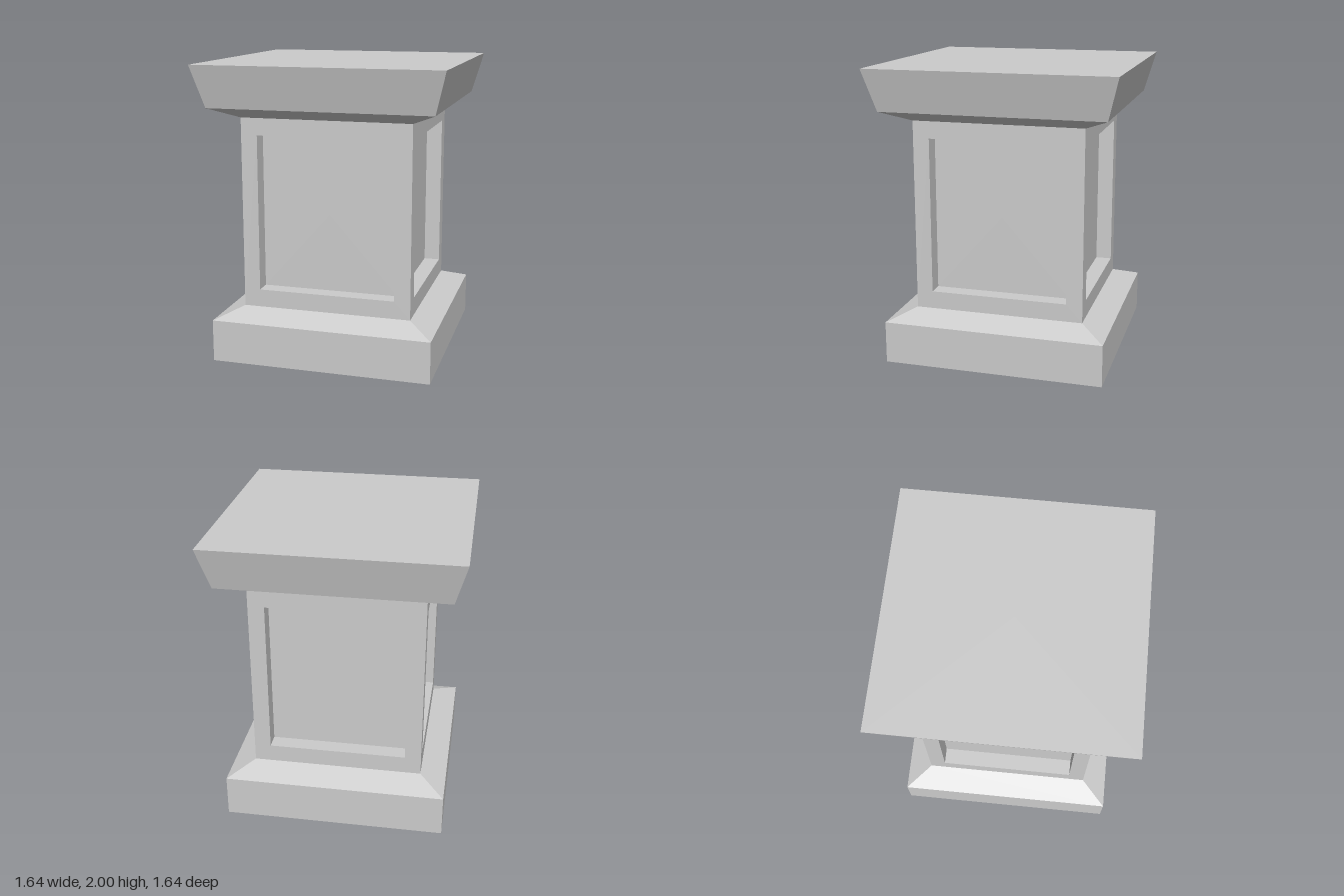
import * as THREE from 'three';

const material = new THREE.MeshStandardMaterial({ color: 0xcccccc, flatShading: true, side: THREE.DoubleSide });

// Square-section shell from a profile of [half width, height] points
function squareLathe(profile) {
  const points = profile.map(([w, y]) => new THREE.Vector2(w * Math.SQRT2, y));
  const geometry = new THREE.LatheGeometry(points, 4, Math.PI / 4).toNonIndexed();
  geometry.computeVertexNormals();
  return geometry;
}

function addMesh(parent, name, geometry) {
  const mesh = new THREE.Mesh(geometry, material);
  mesh.name = name;
  parent.add(mesh);
  return mesh;
}

function rectangle(path, w, y0, y1) {
  path.moveTo(-w, y0).lineTo(w, y0).lineTo(w, y1).lineTo(-w, y1).closePath();
  return path;
}

export function createModel() {
  const model = new THREE.Group();
  model.name = 'pedestal';

  const body = 0.575, bodyBottom = 0.355, bodyTop = 1.645;
  const panel = 0.465, panelBottom = 0.475, panelTop = 1.53;
  const depth = body - panel;

  // Hollow plinth, open underneath, with a sloped shoulder
  addMesh(model, 'base', squareLathe([[0.745, 0], [0.745, 0.285], [body, bodyBottom]]));

  // Flared cap with a flat top
  addMesh(model, 'cap', squareLathe([[body, bodyTop], [0.745, 1.72], [0.82, 2], [0, 2]]));

  // Frame around each recessed panel
  const frameShape = rectangle(new THREE.Shape(), body, bodyBottom, bodyTop);
  frameShape.holes.push(rectangle(new THREE.Path(), panel, panelBottom, panelTop));
  const frame = new THREE.ShapeGeometry(frameShape).translate(0, 0, body);

  // Recess: four reveals and the panel at the back
  const recess = squareLathe([[1, 0], [1, -depth], [0, -depth]])
    .rotateX(Math.PI / 2)
    .scale(panel, (panelTop - panelBottom) / 2, 1)
    .translate(0, (panelTop + panelBottom) / 2, body);

  ['front', 'left', 'back', 'right'].forEach((side, i) => {
    const wall = new THREE.Group();
    wall.name = side + 'Wall';
    addMesh(wall, side + 'Frame', frame);
    addMesh(wall, side + 'Panel', recess);
    wall.rotation.y = i * Math.PI / 2;
    model.add(wall);
  });

  return model;
}
